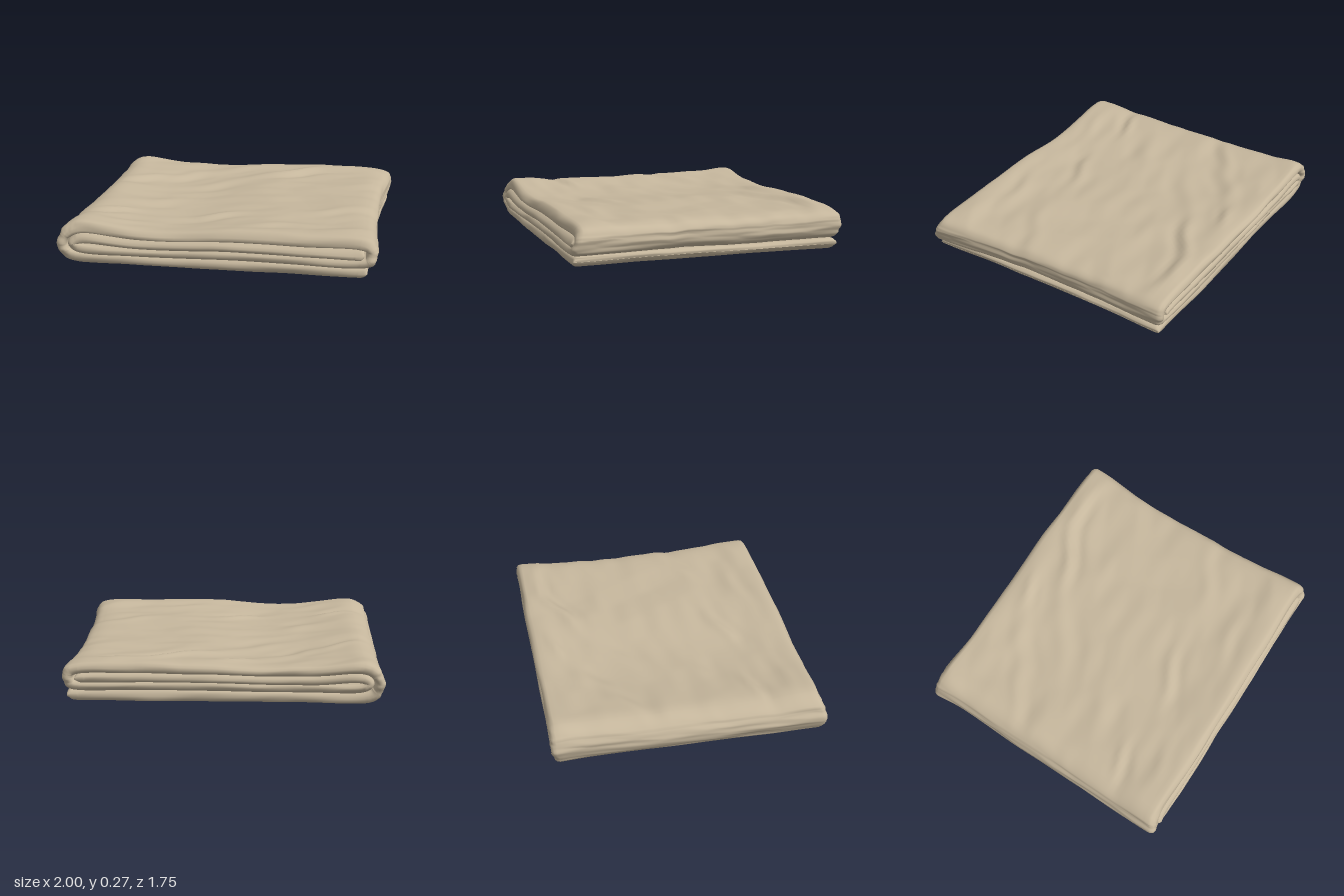
import * as THREE from 'three';

const { clamp, lerp, smoothstep } = THREE.MathUtils;
const bump = (v, centre, width) => Math.exp(-(((v - centre) / width) ** 2));

// Creases in the top layer: x, z, angle, half length, half width, height
const creases = [
  [0.35, -0.64, 0.42, 0.28, 0.04, 0.020],
  [0.68, -0.74, -0.10, 0.16, 0.035, 0.014],
  [-0.06, -0.71, 0.05, 0.12, 0.03, 0.012],
  [-0.45, -0.50, 0.60, 0.25, 0.05, 0.010],
  [-0.70, -0.37, 0.50, 0.20, 0.04, 0.008],
  [-0.20, -0.33, 0.55, 0.30, 0.06, 0.010],
  [-0.72, 0.47, 0.15, 0.15, 0.03, 0.014],
  [-0.05, 0.43, 0.30, 0.22, 0.04, 0.015],
  [-0.45, 0.15, 0.45, 0.30, 0.06, 0.008],
  [0.68, 0.28, 0.45, 0.25, 0.05, 0.008],
  [0.30, 0.66, 0.15, 0.30, 0.04, 0.008],
  [-0.55, 0.70, 0.10, 0.25, 0.04, 0.008],
];

// Repeatable value between -1 and 1 for a grid corner
function corner(i, j) {
  const s = Math.sin(i * 127.1 + j * 311.7) * 43758.5453;
  return 2 * (s - Math.floor(s)) - 1;
}

// Faceted crumple made of flat triangles, stretched along the diagonal
function crumple(x, z) {
  const u = (0.9 * x - 0.43 * z) / 0.2 + 20, v = (0.43 * x + 0.9 * z) / 0.11 + 20;
  const i = Math.floor(u), j = Math.floor(v), a = u - i, b = v - j;
  const c00 = corner(i, j), c11 = corner(i + 1, j + 1);
  return a > b
    ? c00 + a * (corner(i + 1, j) - c00) + b * (c11 - corner(i + 1, j))
    : c00 + b * (corner(i, j + 1) - c00) + a * (c11 - corner(i, j + 1));
}

// Height change of the upper surface: sagging middle, raised edges, wrinkles
function relief(x, z) {
  let h = -0.026 * bump(x, -0.3, 0.33) + 0.004 * bump(x, 0.3, 0.25) - 0.016;
  h += 0.02 * bump(z, -0.8, 0.22) + 0.02 * bump(z, 0.8, 0.15) + 0.014 * bump(x, -0.88, 0.12);
  for (const [cx, cz, a, len, wid, amp] of creases) {
    const dx = x - cx, dz = z - cz;
    const along = dx * Math.cos(a) - dz * Math.sin(a);
    const across = dx * Math.sin(a) + dz * Math.cos(a) + 0.015 * Math.sin(along * 14);
    h += amp * bump(along, 0, len) * (bump(across, -wid * 0.4, wid) - 0.7 * bump(across, wid * 1.4, wid));
  }
  return h + 0.009 * crumple(x, z);
}

// Pulls the neat folded stack into its soft, slightly uneven shape
function soften(x, y, z) {
  const up = clamp(y / 0.25, 0, 1);
  const side = Math.max(0, Math.abs(x) - 0.6) / 0.4;
  const pull = x < 0
    ? 0.983 + 0.024 * z + 0.018 * bump(z, -0.86, 0.15)
    : 0.962 + 0.04 * bump(z, -0.86, 0.35) + 0.042 * bump(z, 0.86, 0.4) * smoothstep(y, 0.06, 0.1);
  const undercut = x > 0 ? 0.025 * side * Math.max(0, 1 - y / 0.06) : 0;
  const zScale = z > 0
    ? 0.985 + 0.02 * bump(y, 0.12, 0.06) - 0.03 * bump(y, 0.26, 0.06) + 0.006 * Math.cos(2 * x)
    : 0.98 + 0.025 * smoothstep(y, 0.05, 0.13) + 0.004 * Math.sin(5 * x);
  const sway = 0.004 * Math.sin(Math.PI * up) * (Math.sin(4 * x + 10 * y) + Math.sin(6 * z));
  return [
    x * lerp(1, pull, Math.min(1, side)) - undercut + 0.007 * side * crumple(z, 4 * y),
    Math.max(0.005, y + relief(x, z) * up ** 1.5 + sway),
    z * zScale + 0.007 * smoothstep(Math.abs(z), 0.7, 0.86) * crumple(x, 5 * y),
  ];
}

// Centre line of the cloth, folded back and forth from the bottom layer
function foldPath() {
  const pts = [[0.975, 0.042], [0.955, 0.041]];
  const layer = (y, from, to) => {
    for (let i = 0; i <= 5; i++) pts.push([lerp(from, to, i / 5), y]);
  };
  layer(0.040, 0.91, -0.88);
  pts.push([-0.938, 0.062], [-0.966, 0.122], [-0.942, 0.182]);  // outer left fold
  layer(0.218, -0.86, 0.89);
  pts.push([0.95, 0.198], [0.962, 0.157], [0.945, 0.117]);      // right fold
  layer(0.103, 0.89, -0.86);
  pts.push([-0.892, 0.129]);                                    // inner left fold
  layer(0.157, -0.86, 0.86);
  pts.push([0.9, 0.157], [0.915, 0.157]);
  return new THREE.CatmullRomCurve3(pts.map(([x, y]) => new THREE.Vector3(x, y, 0)), false, 'centripetal');
}

// Section across the cloth: a flat loop with round ends, as [normal, z]
function clothSection(half, thick) {
  const loop = [], N = 56, R = 6;
  for (const s of [1, -1]) {
    for (let i = 0; i <= N; i++) loop.push([s, s * (half - thick) * (2 * i / N - 1)]);
    for (let i = 1; i < R; i++) {
      const a = Math.PI * i / R;
      loop.push([s * Math.cos(a), s * (half - thick + thick * Math.sin(a))]);
    }
  }
  return loop;
}

function foldedCloth() {
  const path = foldPath(), section = clothSection(0.865, 0.034);
  const steps = (path.points.length - 1) * 12, M = section.length;
  const first = path.getPoint(0), last = path.getPoint(1);
  const verts = [], index = [];
  for (let i = 0; i <= steps; i++) {
    const t = i / steps, p = path.getPoint(t), d = path.getTangent(t);
    // Round off both ends of the cloth
    const end = Math.min(1, p.distanceTo(first) / 0.034, p.distanceTo(last) / 0.034);
    const round = Math.sqrt(Math.max(0.0004, 1 - (1 - end) ** 2));
    const thick = (p.y > 0.18 || p.y < 0.07 ? 0.035 : 0.031) * round;
    for (const [n, z] of section) verts.push(...soften(p.x - d.y * n * thick, p.y + d.x * n * thick, z));
  }
  for (let i = 0; i < steps; i++) {
    for (let j = 0; j < M; j++) {
      const a = i * M + j, c = i * M + (j + 1) % M;
      index.push(a, c, a + M, c, c + M, a + M);
    }
  }
  const geo = new THREE.BufferGeometry();
  geo.setAttribute('position', new THREE.Float32BufferAttribute(verts, 3));
  geo.setIndex(index);
  geo.computeVertexNormals();
  return geo;
}

export function createModel() {
  const model = new THREE.Group();
  model.name = 'foldedBlanket';
  const cloth = new THREE.MeshStandardMaterial({ color: 0xc6b79d, side: THREE.DoubleSide });
  cloth.name = 'beige cloth';
  const blanket = new THREE.Mesh(foldedCloth(), cloth);
  blanket.name = 'foldedCloth';
  model.add(blanket);
  return model;
}
